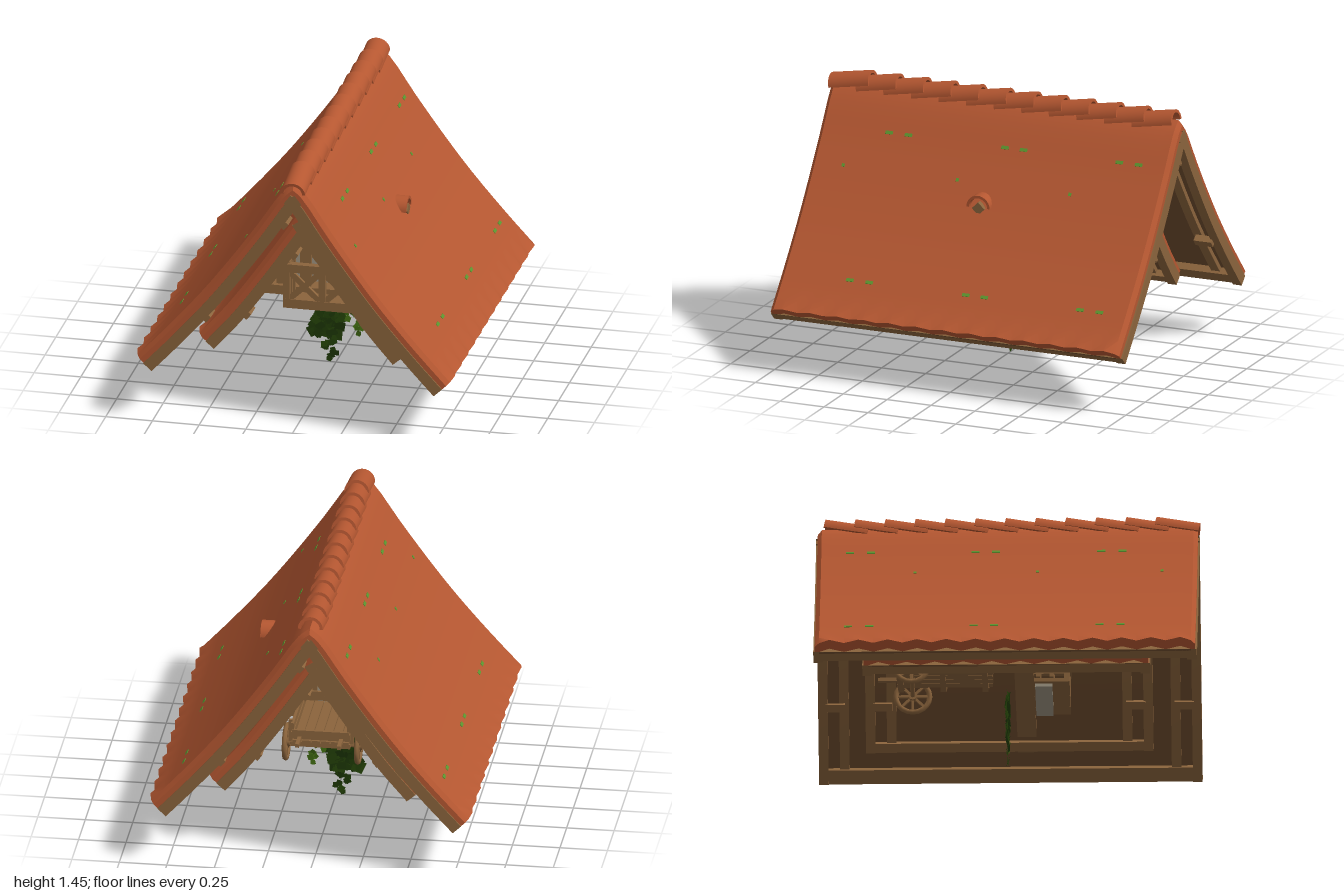
import * as THREE from 'three';
import { toCreasedNormals } from 'three/addons/utils/BufferGeometryUtils.js';

const mat = (name, color, side = THREE.FrontSide) => {
  const m = new THREE.MeshStandardMaterial({ color, side });
  m.name = name;
  return m;
};
const tile = mat('terracotta tile', 0xb55731, THREE.DoubleSide);
const wood = mat('timber', 0x8b643c);
const darkWood = mat('ceiling timber', 0x6f4d2e);
const plaster = mat('plaster', 0xa09684);
const ivy = mat('dark ivy', 0x203c06, THREE.DoubleSide);
const leaf = mat('light ivy', 0x416c12, THREE.DoubleSide);
const moss = mat('moss', 0x5c9430);

let seed = 7;
const rnd = () => (seed = (seed * 16807) % 2147483647) / 2147483647;

function add(parent, name, geo, material, x = 0, y = 0, z = 0) {
  const m = new THREE.Mesh(geo, material);
  m.name = name;
  m.position.set(x, y, z);
  parent.add(m);
  return m;
}
const box = (p, name, w, h, d, x, y, z, m = wood) => add(p, name, new THREE.BoxGeometry(w, h, d), m, x, y, z);

// Flat outline extruded along z
function plate(parent, name, pts, depth, material, z) {
  const shape = new THREE.Shape(pts.map(([x, y]) => new THREE.Vector2(x, y)));
  add(parent, name, new THREE.ExtrudeGeometry(shape, { depth, bevelEnabled: false }), material, 0, 0, z);
}

// Straight timber between two points of an upright plane
function bar(p, name, x0, y0, x1, y1, z, w, d) {
  const m = box(p, name, Math.hypot(x1 - x0, y1 - y0), w, d, (x0 + x1) / 2, (y0 + y1) / 2, z);
  m.rotation.z = Math.atan2(y1 - y0, x1 - x0);
}

// Smooth sagging roof line from ridge to eave
const roofLine = (pts) => new THREE.CatmullRomCurve3(pts.map(([x, y]) => new THREE.Vector3(x, y, 0))).getPoints(18);

// Roof line sunk by a depth at right angles to the slope
function sink(line, depth) {
  return line.map((p, j) => {
    const a = line[Math.max(j - 1, 0)], b = line[Math.min(j + 1, line.length - 1)];
    const n = new THREE.Vector2(a.y - b.y, b.x - a.x).normalize();
    return p.x < 1e-4 ? [0, p.y - depth / n.y] : [p.x - n.x * depth, p.y - n.y * depth];
  });
}

// Layer of one roof slope, lofted along z; zig waves the eave, roll rounds off both ends
function slope(parent, name, line, d0, d1, z0, z1, side, material, steps = 1, zig = 0, roll = 0) {
  const stations = [];
  for (let i = 0; i <= steps; i++) stations.push({ z: z0 + ((z1 - z0) * i) / steps, lift: (i % 2) * zig, dip: 0 });
  if (roll) {
    const [a, b] = [stations[0], stations[steps]];
    stations.unshift({ ...a, dip: roll });
    stations.push({ ...b, dip: roll });
    a.z += 0.022;
    b.z -= 0.022;
  }
  const pos = [], idx = [], n = line.length, L = n * 2;
  for (const { z, lift, dip } of stations) {
    const top = sink(line, d0 + dip), bot = sink(line, d1);
    for (const q of [top, bot]) q[n - 1] = q[n - 1].map((v) => v + lift);
    for (const [x, y] of [...top, ...bot.reverse()]) pos.push(x * side, y, z);
  }
  const quad = (a, b, c, d) => (side > 0 ? idx.push(a, b, c, a, c, d) : idx.push(a, c, b, a, d, c));
  const e = (stations.length - 1) * L;
  for (let i = 0; i < e; i += L) for (let j = 0; j < L; j++) {
    const k = (j + 1) % L;
    quad(i + j, i + L + j, i + L + k, i + k);
  }
  for (let j = 0; j < n - 1; j++) {
    quad(j, j + 1, L - 2 - j, L - 1 - j);
    quad(e + j, e + L - 1 - j, e + L - 2 - j, e + j + 1);
  }
  const g = new THREE.BufferGeometry();
  g.setAttribute('position', new THREE.Float32BufferAttribute(pos, 3));
  g.setIndex(idx);
  add(parent, name, toCreasedNormals(g, 0.5), material);
}

// Half-round tile
function arch(r, t, len) {
  const s = new THREE.Shape();
  s.absarc(0, 0, r, 0, Math.PI, false);
  s.absarc(0, 0, r - t, Math.PI, 0, true);
  return toCreasedNormals(new THREE.ExtrudeGeometry(s, { depth: len, bevelEnabled: false, curveSegments: 10 }), 0.6);
}

function roof(root, name, line, half, steps) {
  const g = new THREE.Group();
  g.name = name;
  root.add(g);
  for (const s of [-1, 1]) {
    slope(g, 'tiles', line, 0, 0.05, -half + 0.008, half - 0.008, s, tile, steps, 0.013, 0.022);
    slope(g, 'ceiling', line, 0.051, 0.06, -half + 0.03, half - 0.03, s, darkWood);
    slope(g, 'eaveBeam', line.slice(-2), 0.05, 0.1, -half + 0.03, half - 0.03, s, wood);
    for (const e of [-1, 1]) {
      const span = (a, b) => [Math.min(e * a, e * b), Math.max(e * a, e * b)];
      slope(g, 'bargeBoard', line, 0.05, 0.11, ...span(half - 0.05, half), s, wood);
      slope(g, 'rafter', line, 0.055, 0.085, ...span(half - 0.16, half - 0.11), s, wood);
    }
    // Purlin stubs under each end
    const under = sink(line, 0.11);
    for (const j of [5, 13]) for (const e of [-1, 1])
      box(g, 'purlinEnd', 0.04, 0.04, 0.1, under[j][0] * s, under[j][1], e * (half - 0.09)).rotation.z = -s * 0.9;
  }
}

export function createModel() {
  const root = new THREE.Group();
  root.name = 'gableRoof';
  const big = roofLine([[0, 1.395], [0.06, 1.345], [0.2, 1.14], [0.35, 0.93], [0.5, 0.735], [0.68, 0.525], [0.836, 0.355]]);
  const small = roofLine([[0, 1.175], [0.14, 0.965], [0.28, 0.76], [0.42, 0.57], [0.562, 0.403]]);
  roof(root, 'mainRoof', big, 1, 26);
  roof(root, 'innerRoof', small, 0.75, 20);

  // Overlapping ridge tiles
  for (let i = 0; i < 12; i++)
    add(root, 'ridgeTile', arch(0.066, 0.016, 0.23), tile, 0, 1.384, 0.767 - i * 0.157).rotation.x = 0.17;
  add(root, 'innerRidge', arch(0.062, 0.014, 1.5), tile, 0, 1.13, -0.75);

  // Vent hood on the left slope
  add(root, 'ventHood', arch(0.066, 0.014, 0.11), tile, 0.28, 0.905, 0).rotation.y = Math.PI / 2;
  box(root, 'ventDiamond', 0.03, 0.05, 0.05, 0.375, 0.9, 0).rotation.x = Math.PI / 4;

  // Moss patches lying on both slopes
  const mossAt = (y, z, w) => {
    const j = big.findIndex((p) => p.y < y), a = big[j - 1], b = big[j];
    const x = a.x + ((b.x - a.x) * (a.y - y)) / (a.y - b.y);
    for (const s of [-1, 1])
      box(root, 'moss', 0.018, 0.006, w, s * x, y, z, moss).rotation.z = s * Math.atan2(b.y - a.y, b.x - a.x);
  };
  for (const y of [1.18, 0.52]) for (const z of [0.6, 0.49, -0.06, -0.165, -0.71, -0.82]) mossAt(y, z, 0.042);
  for (const z of [0.81, 0.16, -0.48]) mossAt(1.01, z, 0.016);

  // Plaster gable wall
  const wall = new THREE.Group();
  wall.name = 'gableWall';
  root.add(wall);
  const inner = sink(big, 0.056).filter(([, y]) => y > 0.43);
  plate(wall, 'plasterPanel', [...inner.map(([x, y]) => [-x, y]).reverse(), ...inner.slice(1)], 0.04, plaster, 0.06);

  // Timber frame showing on both faces
  bar(wall, 'sillBeam', -0.66, 0.44, 0.66, 0.44, 0.09, 0.05, 0.1);
  bar(wall, 'collarBeam', -0.27, 0.94, 0.27, 0.94, 0.08, 0.04, 0.07);
  bar(wall, 'outerPost', -0.27, 0.44, -0.27, 0.93, 0.08, 0.045, 0.07);
  for (const s of [-1, 1]) {
    bar(wall, 'innerPost', s * 0.135, 0.44, s * 0.135, 0.94, 0.08, 0.06, 0.08);
    bar(wall, 'rail', s * 0.36, 0.52, s * 0.56, 0.52, 0.08, 0.03, 0.07);
    bar(wall, 'rail', s * 0.125, 0.72, s * 0.4, 0.72, 0.08, 0.035, 0.07);
    bar(wall, 'brace', s * 0.34, 0.46, s * 0.44, 0.7, 0.08, 0.035, 0.07);
    bar(wall, 'brace', s * 0.14, 0.74, s * 0.26, 0.92, 0.08, 0.03, 0.07);
  }

  // Balcony with crossed railing
  const balcony = new THREE.Group();
  balcony.name = 'balcony';
  root.add(balcony);
  box(balcony, 'slab', 0.36, 0.018, 0.09, 0, 0.409, 0.19, plaster);
  box(balcony, 'floor', 0.41, 0.02, 0.24, 0, 0.428, 0.2);
  box(balcony, 'bottomRail', 0.415, 0.05, 0.03, 0, 0.445, 0.31);
  box(balcony, 'topRail', 0.415, 0.045, 0.04, 0, 0.645, 0.31);
  for (const x of [-0.19, 0, 0.19]) box(balcony, 'post', 0.035, 0.22, 0.028, x, 0.54, 0.31);
  for (const c of [-0.095, 0.095]) for (const s of [-1, 1])
    bar(balcony, 'crossBrace', c - 0.085, 0.545 - s * 0.08, c + 0.085, 0.545 + s * 0.08, 0.31, 0.03, 0.02);
  for (const s of [-1, 1]) {
    box(balcony, 'sideRail', 0.03, 0.03, 0.22, s * 0.19, 0.655, 0.2);
    for (const z of [0.16, 0.23]) box(balcony, 'baluster', 0.02, 0.2, 0.02, s * 0.19, 0.55, z);
  }

  // Rounded tile canopy beside the balcony
  const canopy = [[0, 0.77], [0.08, 0.675], [0.22, 0.66], [0.33, 0.69], [0.32, 0.76], [0.25, 0.82], [0.15, 0.85], [0.055, 0.855], [0, 0.81]];
  plate(root, 'canopy', canopy, 0.05, tile, 0.14);

  // Handcart stored behind the wall
  const cart = new THREE.Group();
  cart.name = 'handcart';
  cart.position.set(0, 0.52, -0.5);
  root.add(cart);
  for (let i = 0; i < 6; i++) box(cart, 'bedPlank', 0.046, 0.015, 0.5, -0.125 + i * 0.05, 0.04, 0.17);
  for (const z of [-0.06, 0.16, 0.38]) box(cart, 'crossBeam', 0.31, 0.025, 0.03, 0, 0.022, z);
  add(cart, 'axle', new THREE.CylinderGeometry(0.012, 0.012, 0.42, 8), wood).rotation.z = Math.PI / 2;
  for (const s of [-1, 1]) {
    for (const y of [0.075, 0.125]) box(cart, 'sideBoard', 0.015, 0.035, 0.5, s * 0.148, y, 0.17);
    for (const z of [-0.05, 0.17, 0.39]) box(cart, 'stake', 0.02, 0.12, 0.02, s * 0.16, 0.09, z);
    box(cart, 'endBoard', 0.3, 0.05, 0.015, 0, 0.08, 0.17 + s * 0.245);
    box(cart, 'shaft', 0.02, 0.02, 0.12, s * 0.11, 0.06, -0.12);
    const wheel = new THREE.Group();
    wheel.name = 'wheel';
    wheel.position.x = s * 0.19;
    wheel.rotation.y = Math.PI / 2;
    cart.add(wheel);
    add(wheel, 'rim', new THREE.TorusGeometry(0.088, 0.014, 6, 20), wood);
    for (let k = 0; k < 4; k++) box(wheel, 'spoke', 0.17, 0.014, 0.014, 0, 0, 0).rotation.z = (k * Math.PI) / 4;
    add(wheel, 'hub', new THREE.CylinderGeometry(0.024, 0.024, 0.04, 10), wood).rotation.x = Math.PI / 2;
  }

  // Hanging ivy: flat angular leaves along several strands
  const strands = [
    { n: 55, x: -0.01, y: 0.36, w: 0.09, h: 0.05, r: 0.05, m: ivy },
    { n: 50, x: -0.05, y: 0.24, w: 0.075, h: 0.09, r: 0.045, m: ivy },
    { n: 16, x: -0.03, y: 0.095, w: 0.035, h: 0.06, r: 0.026, m: ivy },
    { n: 9, x: 0.1, y: 0.275, w: 0.045, h: 0.025, r: 0.026, m: leaf },
    { n: 8, x: 0.115, y: 0.21, w: 0.025, h: 0.04, r: 0.024, m: leaf },
  ];
  const plant = new THREE.Group();
  plant.name = 'hangingIvy';
  root.add(plant);
  for (const c of strands) for (let i = 0; i < c.n; i++) {
    const m = add(plant, 'leaf', new THREE.CircleGeometry(c.r * (0.6 + 0.4 * rnd()), 4), c.m,
      c.x + (rnd() * 2 - 1) * c.w, c.y + (rnd() * 2 - 1) * c.h, (rnd() - 0.5) * 0.015);
    m.rotation.set((rnd() - 0.5) * 0.5, (rnd() - 0.5) * 0.5, rnd() * 6);
  }
  add(plant, 'tipLeaf', new THREE.CircleGeometry(0.018, 5), ivy, -0.035, 0.018, 0);
  return root;
}
